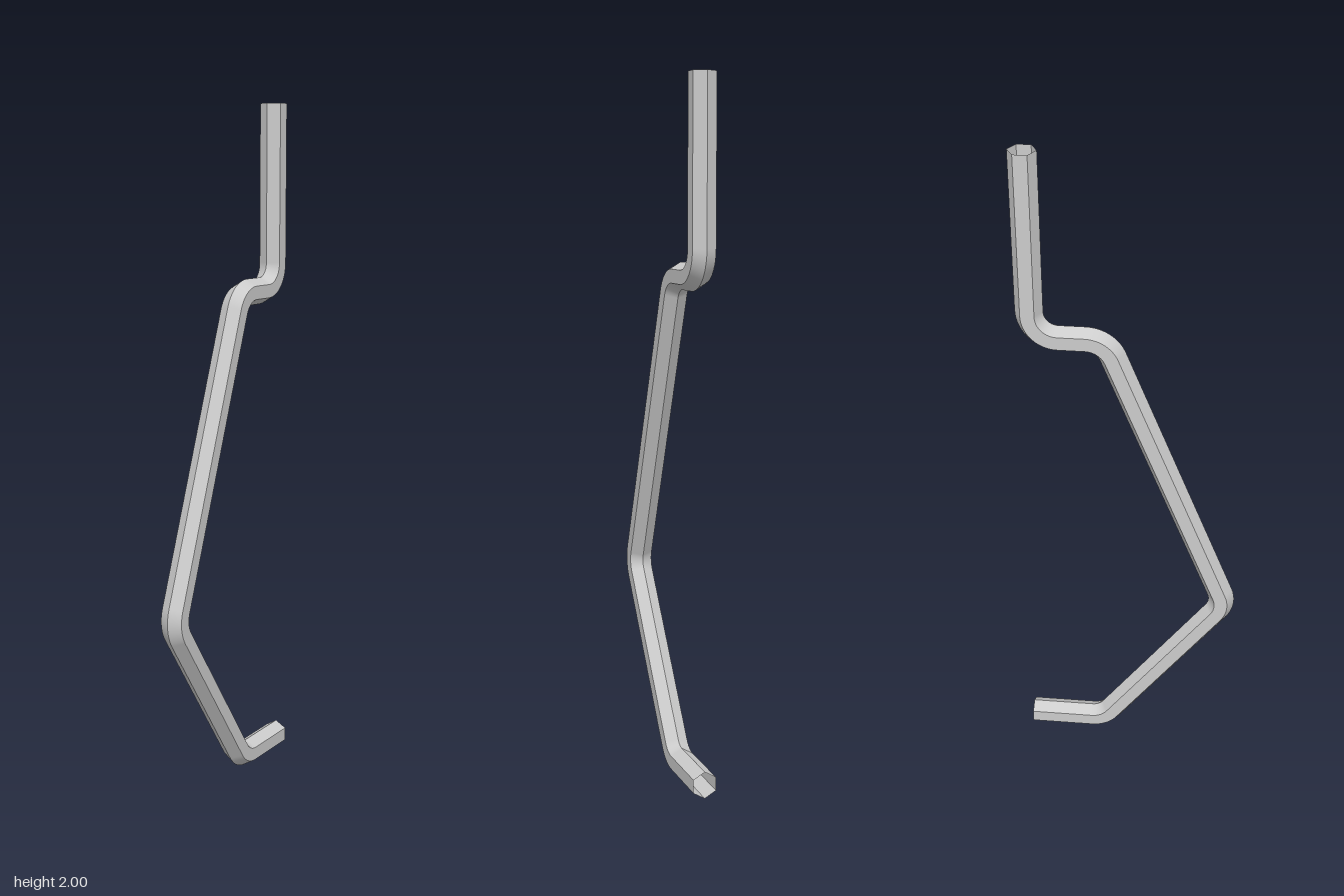
import * as THREE from 'three';

const RADIUS = 0.039; // corner radius of the hexagonal section
const BEND = 0.08;    // centreline bend radius
const SIDES = 6;
const STEPS = 10;     // rings per bend

// Centreline corners as (z, y), from the upper end to the lower end
const CORNERS = [
  [-0.279, 2], [-0.279, 1.455], [-0.07, 1.455],
  [0.288, 0.548], [-0.085, 0.039], [-0.318, 0.039],
].map(([z, y]) => new THREE.Vector3(0, y, z));

// Rings along the path: straight runs joined by circular arcs
function buildRings() {
  const dir = (i) => CORNERS[i + 1].clone().sub(CORNERS[i]).normalize();
  const last = CORNERS.length - 1;
  const rings = [{ p: CORNERS[0], t: dir(0) }];
  for (let i = 1; i < last; i++) {
    const a = dir(i - 1), b = dir(i);
    const turn = a.angleTo(b);
    const start = CORNERS[i].clone().addScaledVector(a, -BEND * Math.tan(turn / 2));
    const inward = b.clone().addScaledVector(a, -a.dot(b)).normalize();
    for (let s = 0; s <= STEPS; s++) {
      const u = (turn * s) / STEPS;
      rings.push({
        p: start.clone().addScaledVector(a, BEND * Math.sin(u))
          .addScaledVector(inward, BEND * (1 - Math.cos(u))),
        t: a.clone().multiplyScalar(Math.cos(u)).addScaledVector(inward, Math.sin(u)),
      });
    }
  }
  rings.push({ p: CORNERS[last], t: dir(last - 1) });
  return rings;
}

// Open hexagonal tube: each side is its own strip, so its long edges stay sharp
function hexTube(rings) {
  const positions = [], index = [];
  const xAxis = new THREE.Vector3(1, 0, 0);
  for (let side = 0; side < SIDES; side++) {
    const base = positions.length / 3;
    rings.forEach(({ p, t }, j) => {
      const n = xAxis.clone().cross(t);
      for (const k of [side, side + 1]) {
        const ang = (k / SIDES) * Math.PI * 2;
        const v = p.clone().addScaledVector(n, RADIUS * Math.cos(ang))
          .addScaledVector(xAxis, RADIUS * Math.sin(ang));
        positions.push(v.x, v.y, v.z);
      }
      if (j > 0) {
        const q = base + 2 * (j - 1);
        index.push(q, q + 1, q + 2, q + 1, q + 3, q + 2);
      }
    });
  }
  const geometry = new THREE.BufferGeometry();
  geometry.setAttribute('position', new THREE.Float32BufferAttribute(positions, 3));
  geometry.setIndex(index);
  geometry.computeVertexNormals();
  return geometry;
}

export function createModel() {
  const group = new THREE.Group();
  group.name = 'bentPipe';
  const material = new THREE.MeshStandardMaterial({ color: 0xcccccc, side: THREE.DoubleSide });
  const pipe = new THREE.Mesh(hexTube(buildRings()), material);
  pipe.name = 'hexagonalPipe';
  group.add(pipe);
  return group;
}
